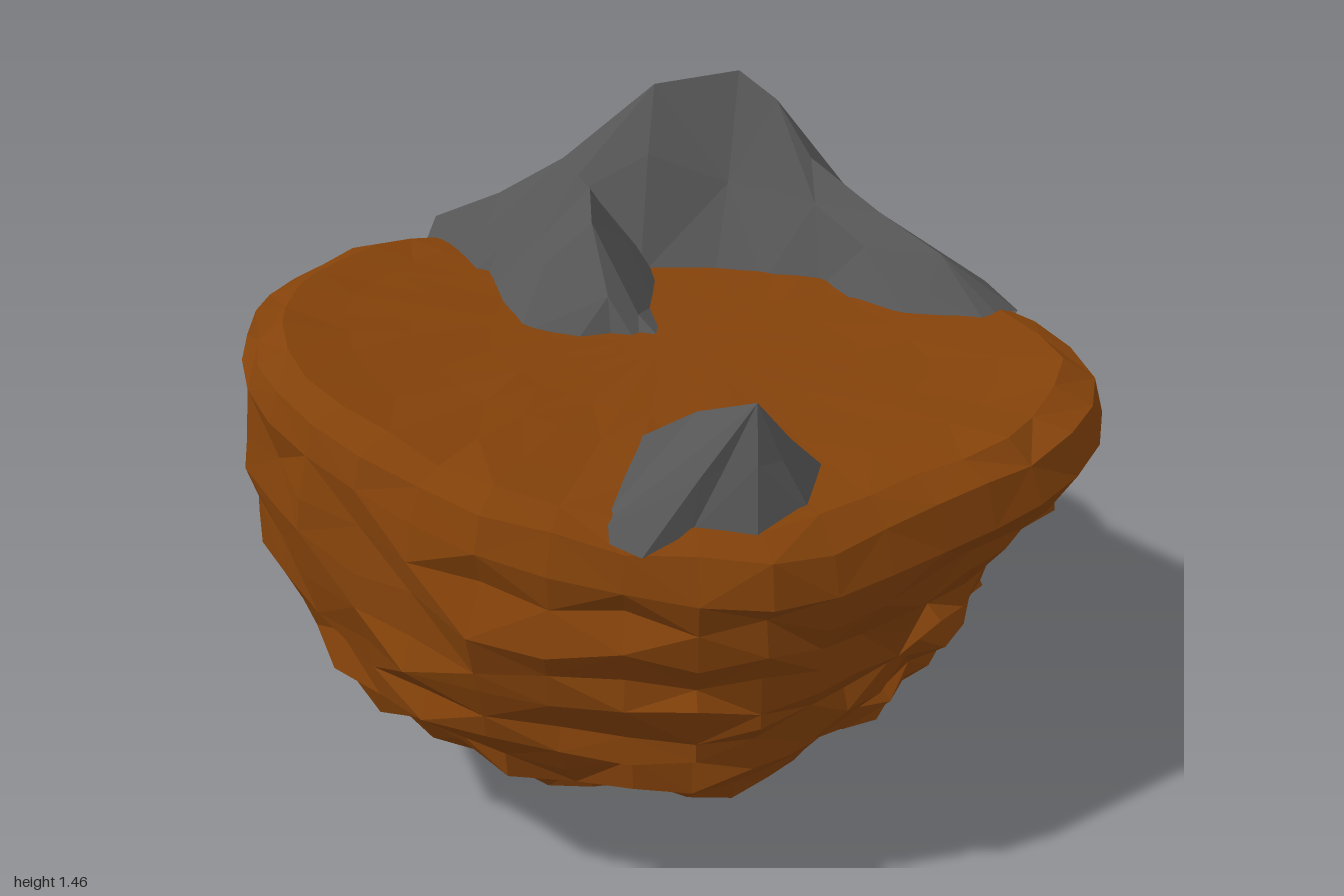
import * as THREE from 'three';

const V = (x, y, z) => new THREE.Vector3(x, y, z);

// Small seeded generator giving values in -1..1
function makeJitter(seed) {
  let s = seed;
  return () => {
    s = (s * 16807) % 2147483647;
    return (s / 2147483647) * 2 - 1;
  };
}

// Flat-shaded skin stretched over rows of points; diagonals vary for a rough look
function loft(name, rows, material, closed = false) {
  const pos = [];
  const tri = (...pts) => pts.forEach((p) => pos.push(p.x, p.y, p.z));
  for (let i = 0; i < rows.length - 1; i++) {
    const n = rows[i].length;
    for (let j = 0; j < (closed ? n : n - 1); j++) {
      const k = (j + 1) % n;
      const a = rows[i][j], b = rows[i + 1][j], c = rows[i + 1][k], d = rows[i][k];
      if ((i * 7 + j * 3) % 5 < 3) { tri(a, b, c); tri(a, c, d); }
      else { tri(a, b, d); tri(b, c, d); }
    }
  }
  const geo = new THREE.BufferGeometry();
  geo.setAttribute('position', new THREE.Float32BufferAttribute(pos, 3));
  geo.computeVertexNormals();
  const mesh = new THREE.Mesh(geo, material);
  mesh.name = name;
  return mesh;
}

// Slightly twisted ground, falling to the right and most at the front right
const groundY = (x, z) => 1 - 0.1 * x - 0.12 * x * z - 0.03 * z;

export function createModel() {
  const group = new THREE.Group();
  group.name = 'floatingIsland';
  const earth = new THREE.MeshStandardMaterial({ color: 0x84420a, flatShading: true });
  const stone = new THREE.MeshStandardMaterial({ color: 0x555555, flatShading: true, side: THREE.DoubleSide });
  const jitter = makeJitter(4711);

  // Rim outline seen from above, running from the right round the front
  const outline = [
    [0.92, -0.41], [0.96, -0.1], [0.8, 0.36], [0.63, 0.7], [0.38, 0.85], [0.05, 0.95],
    [-0.52, 0.83], [-0.85, 0.45], [-0.96, -0.08], [-0.86, -0.36], [-0.62, -0.76],
    [-0.14, -0.94], [0.2, -0.82], [0.64, -0.64],
  ].map(([x, z]) => V(x, 0, z));
  const rim = new THREE.CatmullRomCurve3(outline, true, 'centripetal').getSpacedPoints(40).slice(0, 40);

  // Earth bowl: rounded rings, fuller at the front, undercut on the right
  const RINGS = 15;
  const bowl = Array.from({ length: RINGS + 1 }, (_, i) => {
    const t = (i / RINGS) ** 1.4;
    const radius = Math.sqrt(1 - (1 - t) ** 2) - 0.035 * Math.sin(Math.PI * t * t);
    const rough = i > 1 && i < RINGS ? Math.min(1, t * 4) : 0;
    const ledge = i % 2 ? 0.01 : -0.01;
    return rim.map((p) => {
      const len = Math.hypot(p.x, p.z);
      const front = p.z / len, right = p.x / len;
      const bulge = Math.sin(Math.PI * t) * (front > 0 ? 0.13 : 0.09) * front
        - Math.sin(Math.PI * t ** 1.4) * (right > 0 ? 0.1 : -0.035) * right;
      const r = radius + bulge + (ledge + jitter() * 0.03) * rough;
      const drop = 0.1 + 0.02 * right;
      const y = (groundY(p.x, p.z) - drop) * t + jitter() * 0.025 * rough;
      return V(p.x * r, Math.max(0, y), p.z * r);
    });
  });
  group.add(loft('earthBowl', bowl, earth, true));

  // Ground inside the rim, rolling over at its edge
  const ground = [0.97, 0.9, 0.76, 0.6, 0.44, 0.28, 0.12, 0].map((f, i) => rim.map((p) => {
    const k = f + (i < 5 ? jitter() * 0.012 : 0);
    const x = p.x * k, z = p.z * k;
    return V(x, groundY(x, z) - (i === 0 ? 0.03 : 0) + jitter() * 0.012 * f * f, z);
  }));
  group.add(loft('ground', [bowl[RINGS], ...ground], earth, true));

  // Crescent ridge: inner foot (x, z), crest (x, y, z), outer rim (x, z)
  const ridge = [
    [-0.84, -0.22, -0.86, 1.1, -0.3, -0.88, -0.33],
    [-0.6, -0.05, -0.74, 1.15, -0.42, -0.87, -0.54],
    [-0.42, -0.1, -0.62, 1.23, -0.55, -0.67, -0.8],
    [-0.28, -0.36, -0.4, 1.43, -0.65, -0.42, -0.93],
    [-0.12, -0.46, -0.22, 1.46, -0.78, -0.15, -1.0],
    [0, -0.5, -0.1, 1.4, -0.76, 0, -0.98],
    [0.14, -0.53, 0.02, 1.27, -0.72, 0.17, -0.88],
    [0.25, -0.44, 0.24, 1.17, -0.66, 0.33, -0.81],
    [0.44, -0.42, 0.44, 1.11, -0.58, 0.5, -0.74],
    [0.59, -0.43, 0.6, 1.0, -0.54, 0.63, -0.62],
  ].map(([ix, iz, cx, cy, cz, ox, oz]) => {
    const foot = V(ix, groundY(ix, iz) - 0.02, iz);
    const crest = V(cx, cy, cz);
    const slope = foot.clone().lerp(crest, 0.55);
    slope.y += jitter() * 0.12 * (cy - foot.y);
    const middle = 1 - Math.abs(ox + 0.15);
    const edge = V(ox, groundY(ox, oz) - 0.03 + 0.06 * middle, oz);
    const low = V(ox * 0.95, edge.y - 0.02 - 0.16 * middle, oz * 0.95);
    return [foot, slope, crest, edge, low];
  });
  group.add(loft('rockRidge', ridge, stone));

  // Spur running from the ridge to the middle of the ground, given by its crest
  const spur = [
    [-0.5, 1.23, -0.42], [-0.34, 1.26, -0.22], [-0.27, 1.21, -0.11],
    [-0.15, 1.08, 0.02], [-0.1, 0.98, 0.09],
  ].map(([x, y, z], i) => {
    const w = 1.25 - i * 0.09;
    const footAt = (px, pz) => V(px, groundY(px, pz) - 0.015, pz);
    const left = footAt(x - 0.14 * w, z + 0.18 * w);
    const right = footAt(x + 0.12 * w, z - 0.08 * w);
    const crest = V(x, y, z);
    return [left, left.clone().lerp(crest, 0.5), crest, crest.clone().lerp(right, 0.5), right];
  });
  group.add(loft('rockSpur', spur, stone));

  // Lone boulder near the front rim: its footprint drawn in towards a peak
  const footprint = [
    [0.6, 0.5], [0.56, 0.65], [0.45, 0.72], [0.4, 0.83], [0.28, 0.83],
    [0.19, 0.47], [0.28, 0.33], [0.55, 0.33],
  ];
  const peak = V(0.49, 1.1, 0.52);
  const boulder = [0, 0.5, 1].map((k) => footprint.map(([x, z]) => {
    const p = V(x, groundY(x, z) - (z > 0.8 ? 0.03 : 0.005), z).lerp(peak, k);
    p.y += jitter() * 0.08 * k * (1 - k);
    return p;
  }));
  group.add(loft('boulder', boulder, stone, true));

  return group;
}
